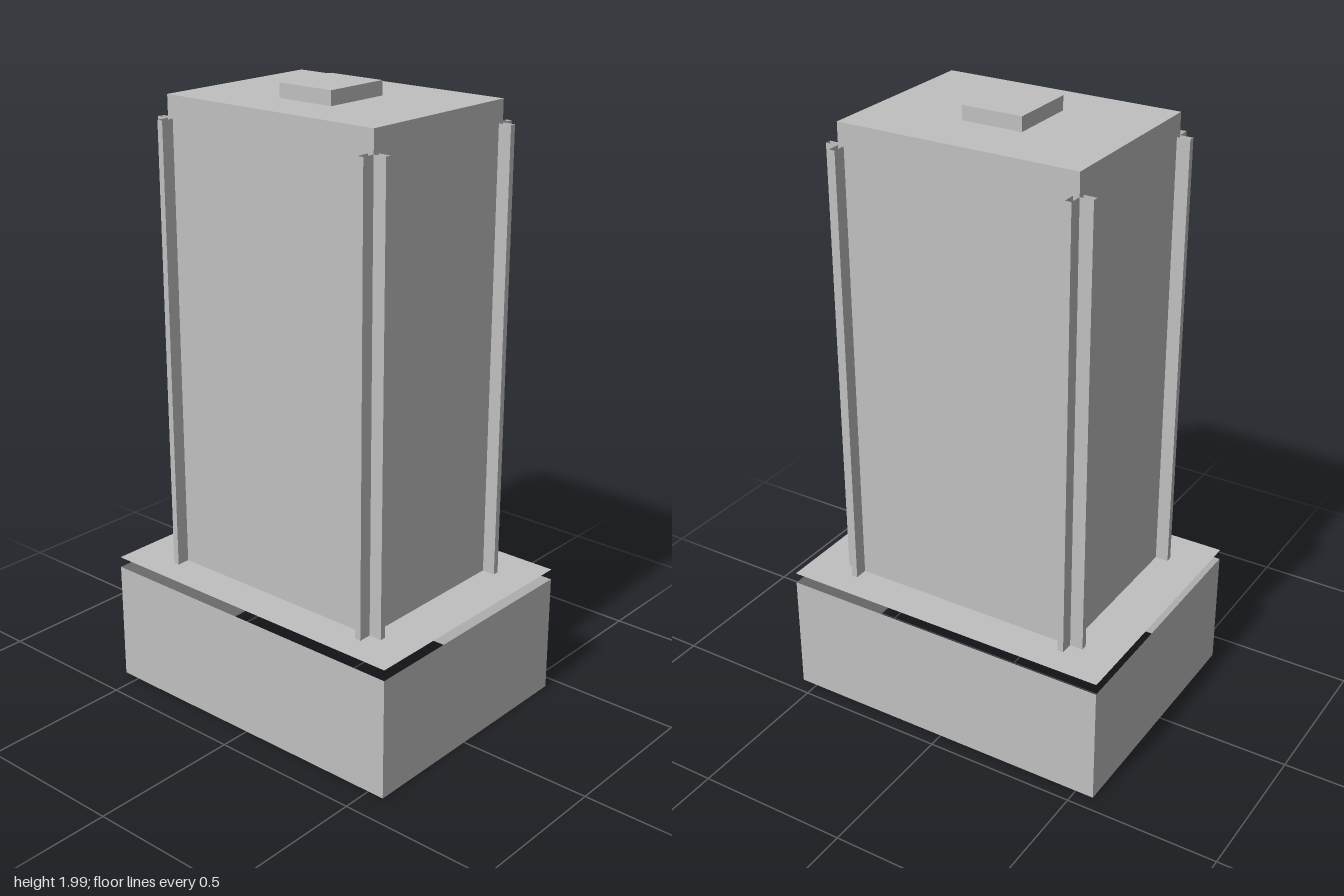
import * as THREE from 'three';

const concrete = new THREE.MeshStandardMaterial({ color: 0xc0c0c0, side: THREE.DoubleSide });
concrete.name = 'concreteGrey';

// Thin-shelled block between two corners: walls, with an optional roof and no floor
function shell(name, [x0, y0, z0], [x1, y1, z1], roof) {
  const geo = new THREE.BoxGeometry(x1 - x0, y1 - y0, z1 - z0);
  const index = Array.from(geo.index.array);
  // Box faces run +x, -x, +y, -y, +z, -z with six indices each
  geo.setIndex(index.filter((_, i) => {
    const face = Math.floor(i / 6);
    return face !== 3 && (roof || face !== 2);
  }));
  geo.clearGroups();
  geo.translate((x0 + x1) / 2, (y0 + y1) / 2, (z0 + z1) / 2);
  const mesh = new THREE.Mesh(geo, concrete);
  mesh.name = name;
  return mesh;
}

export function createModel() {
  const model = new THREE.Group();
  model.name = 'towerBuilding';

  const cx = -0.0025, cz = -0.025;   // plan centre
  const baseY = 0.395, finTop = 1.875, roofY = 1.945;
  const hx = 0.395, hz = 0.295;      // tower half sizes
  const finDepth = 0.043, finWidth = 0.02;

  // Podium walls, open above and below
  model.add(shell('podiumWalls', [cx - 0.558, 0, cz - 0.425], [cx + 0.558, baseY, cz + 0.425], false));

  // Thin podium roof floating just above the walls
  const deckGeo = new THREE.PlaneGeometry(1.116, 0.85).rotateX(-Math.PI / 2).translate(cx, 0.43, cz);
  const deck = new THREE.Mesh(deckGeo, concrete);
  deck.name = 'podiumRoof';
  model.add(deck);

  // Tower and rooftop plant room
  model.add(shell('tower', [cx - hx, baseY, cz - hz], [cx + hx, roofY, cz + hz], true));
  model.add(shell('plantRoom', [-0.102, roofY, -0.125], [0.097, 1.99, 0.103], true));

  // Two open-ended fins at each corner, one on each adjoining face
  const fins = new THREE.Group();
  fins.name = 'cornerFins';
  const fin = (name, xa, xb, za, zb) => fins.add(shell(name,
    [cx + Math.min(xa, xb), baseY, cz + Math.min(za, zb)],
    [cx + Math.max(xa, xb), finTop, cz + Math.max(za, zb)], false));
  for (const sx of [-1, 1]) {
    for (const sz of [-1, 1]) {
      fin('faceFin', sx * (hx - finWidth), sx * hx, sz * hz, sz * (hz + finDepth));
      fin('sideFin', sx * hx, sx * (hx + finDepth), sz * (hz - finWidth), sz * hz);
    }
  }
  model.add(fins);
  return model;
}
